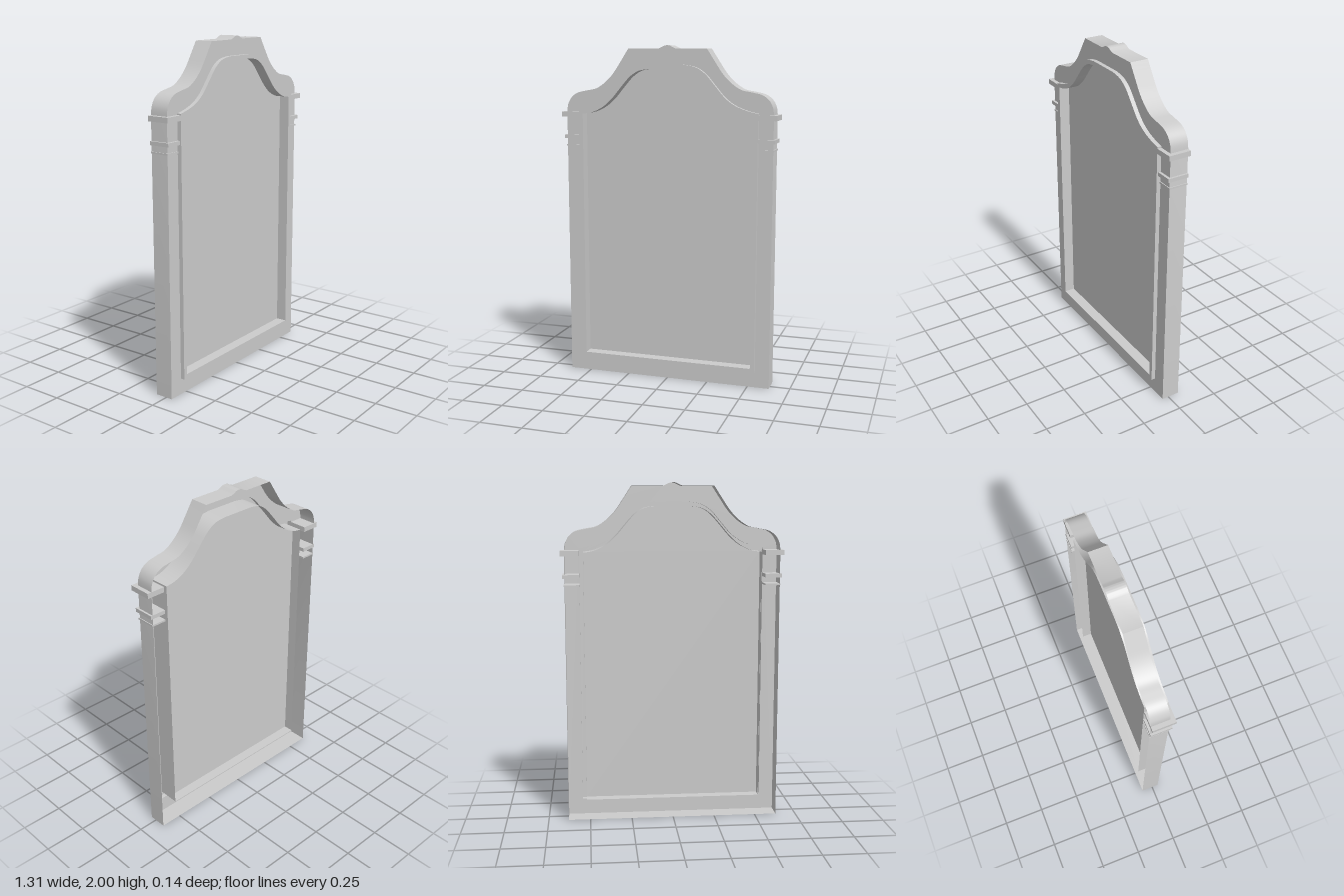
import * as THREE from 'three';
import { toCreasedNormals } from 'three/addons/utils/BufferGeometryUtils.js';

const BACK = -0.07, FACE = 0.04, FRONT = 0.065, RIM = -0.06, PANEL = 0;

const material = new THREE.MeshStandardMaterial({ color: 0xcccccc, side: THREE.DoubleSide });

const vectors = (list) => list.map(([x, y]) => new THREE.Vector2(x, y));
const smooth = (list, n = 28) => new THREE.SplineCurve(vectors(list)).getPoints(n);

// Closed symmetrical outline from its +x half, listed bottom to top
function mirrored(half) {
  const other = half.filter((p) => p.x > 1e-4).map((p) => new THREE.Vector2(-p.x, p.y)).reverse();
  return [...half, ...other];
}

// Flat sheet at depth z, with an optional opening
function sheet(outline, z, opening) {
  const shape = new THREE.Shape(outline);
  if (opening) shape.holes.push(new THREE.Path(opening));
  return new THREE.ShapeGeometry(shape).translate(0, 0, z);
}

// Thin wall following an outline between two depths
function wall(outline, z0, z1) {
  const pos = [];
  outline.forEach((a, i) => {
    const b = outline[(i + 1) % outline.length];
    pos.push(a.x, a.y, z0, b.x, b.y, z0, b.x, b.y, z1);
    pos.push(a.x, a.y, z0, b.x, b.y, z1, a.x, a.y, z1);
  });
  const geometry = new THREE.BufferGeometry();
  geometry.setAttribute('position', new THREE.Float32BufferAttribute(pos, 3));
  return toCreasedNormals(geometry, 0.5);
}

export function createModel() {
  const model = new THREE.Group();
  const add = (name, geometry) => {
    const mesh = new THREE.Mesh(geometry, material);
    mesh.name = name;
    model.add(mesh);
    return mesh;
  };

  // Outer silhouette: posts, rounded shoulders, sweeping crest and small top bump
  const outer = mirrored([
    ...vectors([[0.63, 0]]),
    ...smooth([[0.63, 1.61], [0.623, 1.655], [0.6, 1.695], [0.56, 1.723], [0.5, 1.737], [0.44, 1.75],
      [0.385, 1.785], [0.335, 1.835], [0.29, 1.9], [0.238, 1.98]], 36),
    ...smooth([[0.055, 1.98], [0.035, 1.988], [0.018, 1.997], [0, 2]], 10),
  ]);

  // Moulding outer edge
  const moulding = mirrored([
    ...vectors([[0.545, 0.095]]),
    ...smooth([[0.545, 1.618], [0.48, 1.634], [0.41, 1.662], [0.35, 1.706], [0.29, 1.775], [0.235, 1.838],
      [0.175, 1.876], [0.1, 1.89]]),
  ]);

  // Glass opening
  const opening = mirrored([
    ...vectors([[0.52, 0.12]]),
    ...smooth([[0.52, 1.6], [0.46, 1.61], [0.395, 1.64], [0.335, 1.69], [0.275, 1.76], [0.22, 1.82],
      [0.165, 1.854], [0.1, 1.865]]),
  ]);

  // Hollow frame, open at the back
  add('frameFace', sheet(outer, FACE, moulding));
  add('frameSides', wall(outer, BACK, FACE));

  // Raised moulding around the opening
  add('mouldingFace', sheet(moulding, FRONT, opening));
  add('mouldingEdge', wall(moulding, FACE, FRONT));

  // Deep reveal holding the recessed mirror panel
  add('reveal', wall(opening, RIM, FRONT));
  add('mirrorPanel', sheet(opening, PANEL));

  // Capital bands on both posts: bottom, top, outer x, front z
  const bands = [
    ['capitalTop', 1.58, 1.61, 0.655, FRONT],
    ['capitalBand', 1.45, 1.472, 0.642, 0.056],
    ['capitalBead', 1.404, 1.414, 0.635, 0.045],
  ];
  for (const [name, y0, y1, x1, z1] of bands) {
    for (const side of [1, -1]) {
      const x0 = 0.545;
      const mesh = add(name + (side > 0 ? 'Left' : 'Right'), new THREE.BoxGeometry(x1 - x0, y1 - y0, z1 - BACK));
      mesh.position.set(side * (x0 + x1) / 2, (y0 + y1) / 2, (z1 + BACK) / 2);
    }
  }

  return model;
}
